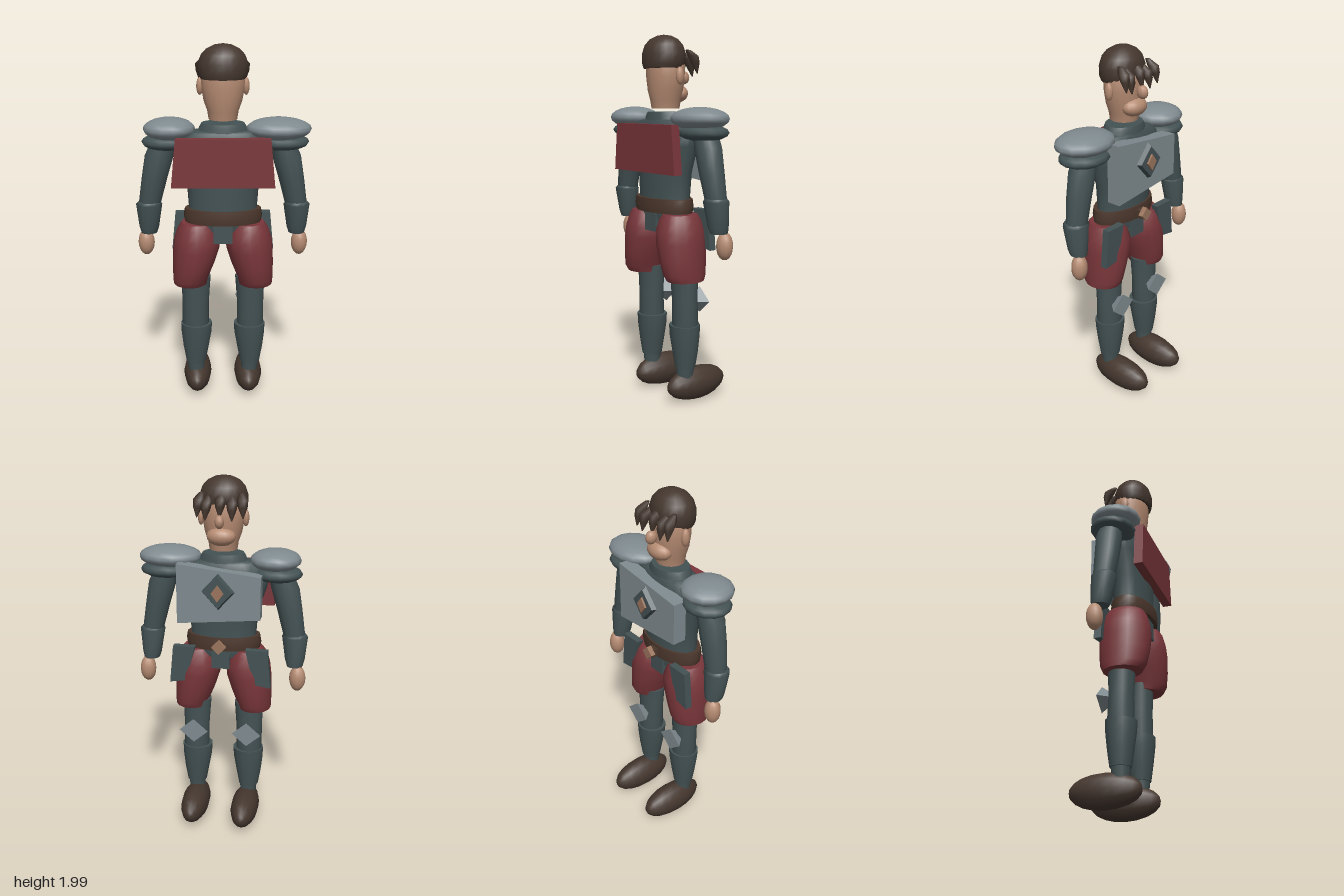
import * as THREE from 'three';

const mat = (name, color, side = THREE.FrontSide) => {
  const m = new THREE.MeshStandardMaterial({ color, side });
  m.name = name;
  return m;
};

// Closed tube through elliptical rings [y, cx, cz, rx, rz], listed from bottom to top
function loft(rings, n = 16) {
  const pos = [], idx = [];
  const ring = ([y, cx, cz, rx, rz]) => {
    for (let j = 0; j < n; j++) {
      const a = (j / n) * Math.PI * 2;
      pos.push(cx + rx * Math.cos(a), y, cz + rz * Math.sin(a));
    }
  };
  rings.forEach(ring);
  for (let i = 0; i < rings.length - 1; i++) {
    for (let j = 0; j < n; j++) {
      const k = (j + 1) % n;
      const a = i * n + j, b = i * n + k, c = a + n, d = b + n;
      idx.push(a, c, b, b, c, d);
    }
  }
  // end caps have their own corners so the rims stay sharp
  [rings[0], rings[rings.length - 1]].forEach((r, end) => {
    const base = pos.length / 3;
    ring(r);
    pos.push(r[1], r[0], r[2]);
    for (let j = 0; j < n; j++) {
      const p = base + j, q = base + (j + 1) % n;
      if (end) idx.push(base + n, q, p);
      else idx.push(base + n, p, q);
    }
  });
  const g = new THREE.BufferGeometry();
  g.setAttribute('position', new THREE.Float32BufferAttribute(pos, 3));
  g.setIndex(idx);
  g.computeVertexNormals();
  return g;
}

// Flat slab: outline in x,y pushed from z0 to z1
function slab(points, z0, z1) {
  const shape = new THREE.Shape(points.map(([x, y]) => new THREE.Vector2(x, y)));
  const g = new THREE.ExtrudeGeometry(shape, { depth: z1 - z0, bevelEnabled: false });
  g.translate(0, 0, z0);
  return g;
}

// Four-sided stud whose outer face looks toward -z
function stud(rFront, rBack, depth, sx, sy) {
  const g = new THREE.CylinderGeometry(rFront, rBack, depth, 4).toNonIndexed();
  g.rotateX(-Math.PI / 2);
  g.scale(sx, sy, 1);
  g.computeVertexNormals();
  return g;
}

export function createModel() {
  const model = new THREE.Group();
  const skin = mat('skin', 0xb58b72);
  const brown = mat('dark brown', 0x45372f);
  const leather = mat('belt leather', 0x4b372c);
  const cloth = mat('slate green', 0x445254);
  const red = mat('deep red', 0x79363a);
  const steel = mat('steel grey', 0x7f8a8f);
  const bronze = mat('bronze', 0x9a745c);

  const add = (name, geometry, material, x = 0, y = 0, z = 0) => {
    const m = new THREE.Mesh(geometry, material);
    m.name = name;
    m.position.set(x, y, z);
    model.add(m);
    return m;
  };
  const ball = (name, material, p, r, w = 16, h = 12) => {
    const m = add(name, new THREE.SphereGeometry(1, w, h), material, ...p);
    m.scale.set(...r);
    return m;
  };

  // Head
  add('head', loft([
    [1.615, 0, 0.07, 0.075, 0.075], [1.66, 0, 0.07, 0.082, 0.082], [1.71, 0, 0.07, 0.1, 0.092],
    [1.78, 0, 0.07, 0.113, 0.097], [1.86, 0, 0.07, 0.117, 0.098], [1.93, 0, 0.075, 0.08, 0.075],
  ], 20), skin);
  ball('jaw', skin, [0, 1.695, -0.002], [0.078, 0.05, 0.055]);
  ball('nose', skin, [0, 1.78, -0.055], [0.025, 0.036, 0.034], 10, 8);

  // Hair cap and fringe
  add('hair', loft([
    [1.825, 0, 0.085, 0.115, 0.098], [1.85, 0, 0.082, 0.126, 0.108], [1.9, 0, 0.08, 0.13, 0.11],
    [1.945, 0, 0.08, 0.113, 0.097], [1.975, 0, 0.08, 0.085, 0.073], [1.994, 0, 0.08, 0.045, 0.038],
    [2, 0, 0.08, 0.006, 0.006],
  ], 20), brown);
  [-0.115, -0.06, 0, 0.072, 0.112].forEach((x, i) => {
    const y = i % 2 ? 1.785 : 1.8;
    add('fringeLock', loft([
      [y, x * 1.06, -0.052, 0.003, 0.003], [y + 0.055, x * 1.03, -0.04, 0.025, 0.024],
      [y + 0.09, x, -0.028, 0.03, 0.03], [y + 0.12, x * 0.92, 0, 0.012, 0.015],
    ], 6), brown);
  });

  // Body and collar
  add('torso', loft([
    [1.02, 0, 0.075, 0.155, 0.09], [1.07, 0, 0.075, 0.185, 0.1], [1.14, 0, 0.078, 0.183, 0.1],
    [1.28, 0, 0.075, 0.193, 0.105], [1.42, 0, 0.07, 0.24, 0.112], [1.5, 0, 0.07, 0.255, 0.11],
    [1.55, 0, 0.07, 0.2, 0.1], [1.56, 0, 0.07, 0.13, 0.09],
  ], 20), cloth);
  add('collar', loft([[1.53, 0, 0.07, 0.14, 0.1], [1.575, 0, 0.07, 0.125, 0.095],
    [1.597, 0, 0.07, 0.112, 0.09]], 18), cloth);
  add('crotchGuard', new THREE.BoxGeometry(0.1, 0.1, 0.2), cloth, 0, 1.01, 0.075);

  // Red plate on the back, steel plate on the chest
  add('backPlate', slab([[-0.27, 1.28], [0.27, 1.28], [0.245, 1.535], [-0.245, 1.535]], 0.17, 0.22), red);
  add('breastPlate', slab([[-0.225, 1.275], [0.225, 1.235], [0.225, 1.56], [-0.225, 1.505]], -0.093, -0.015), steel);
  add('emblemBase', stud(0.085, 0.1, 0.026, 0.9, 1), cloth, 0, 1.42, -0.104);
  add('emblemStone', stud(0.045, 0.047, 0.012, 0.74, 1), bronze, 0, 1.417, -0.121);

  // Belt and buckle
  add('belt', loft([[1.065, 0, 0.082, 0.205, 0.114], [1.1, 0, 0.082, 0.212, 0.118],
    [1.14, 0, 0.082, 0.205, 0.114]], 20), leather);
  add('buckleMount', new THREE.BoxGeometry(0.045, 0.045, 0.05), leather, 0, 1.1, -0.045);
  add('buckle', stud(0.039, 0.039, 0.028, 1, 1), bronze, 0, 1.105, -0.077);

  for (const s of [1, -1]) {
    const side = s > 0 ? 'left' : 'right';
    const limb = (name, material, rings, n) =>
      add(side + name, loft(rings.map(([y, x, ...r]) => [y, x * s, ...r]), n), material);

    ball(side + 'Ear', skin, [s * 0.12, 1.785, 0.065], [0.018, 0.046, 0.024], 10, 8);

    // Shoulder guards, the left one wider
    const big = s > 0;
    ball(side + 'ShoulderGuard', steel, [big ? 0.293 : -0.282, 1.565, 0.073],
      [big ? 0.173 : 0.137, 0.06, 0.138], 14, 10);
    ball(side + 'ShoulderGuardLower', cloth, [big ? 0.31 : -0.295, 1.495, 0.062],
      [big ? 0.146 : 0.135, 0.045, 0.122], 14, 8);

    // Arms
    limb('Arm', cloth, [[1.02, 0.405, 0.045, 0.04, 0.042], [1.16, 0.395, 0.05, 0.06, 0.057],
      [1.3, 0.366, 0.055, 0.069, 0.066], [1.42, 0.338, 0.055, 0.077, 0.07], [1.53, 0.305, 0.055, 0.06, 0.06]], 12);
    limb('Bracer', cloth, [[0.985, 0.405, 0.035, 0.044, 0.048], [1.02, 0.404, 0.04, 0.054, 0.055],
      [1.15, 0.4, 0.052, 0.071, 0.067], [1.165, 0.398, 0.053, 0.06, 0.058]], 12);
    ball(side + 'Hand', skin, [s * 0.424, 0.92, 0.013], [0.045, 0.074, 0.044], 12, 10);

    // Hip plates
    const tasset = [[0.14, 1.085], [0.262, 1.085], [0.283, 0.87], [0.19, 0.885]];
    add(side + 'HipPlate', slab(tasset.map(([x, y]) => [x * s, y]), -0.048, -0.008), cloth);

    // Puffed breeches
    limb('Breeches', red, [[0.705, 0.18, 0.075, 0.094, 0.105], [0.74, 0.178, 0.078, 0.098, 0.125],
      [0.82, 0.162, 0.08, 0.114, 0.135], [0.91, 0.146, 0.08, 0.127, 0.14], [0.97, 0.14, 0.08, 0.126, 0.135],
      [1.03, 0.14, 0.08, 0.105, 0.118], [1.06, 0.14, 0.08, 0.085, 0.1]], 16);

    // Legs, greaves and knee studs
    limb('Leg', cloth, [[0.14, 0.152, 0.055, 0.045, 0.045], [0.22, 0.155, 0.055, 0.05, 0.05],
      [0.44, 0.155, 0.055, 0.075, 0.07], [0.58, 0.154, 0.058, 0.074, 0.066],
      [0.74, 0.15, 0.06, 0.082, 0.072]], 14);
    limb('Greave', cloth, [[0.21, 0.155, 0.055, 0.056, 0.056], [0.3, 0.154, 0.055, 0.072, 0.069],
      [0.39, 0.151, 0.056, 0.085, 0.08], [0.45, 0.15, 0.056, 0.088, 0.083]], 14);
    add(side + 'KneeStud', stud(0.072, 0.035, 0.05, 1.15, 1), steel, s * 0.152, 0.575, -0.024);

    // Boots
    const boot = new THREE.SphereGeometry(1, 12, 10).rotateX(-Math.PI / 2);
    const b = add(side + 'Boot', boot, brown, s * 0.148, 0.1, -0.028);
    b.scale.set(0.08, 0.094, 0.193);
  }
  return model;
}
